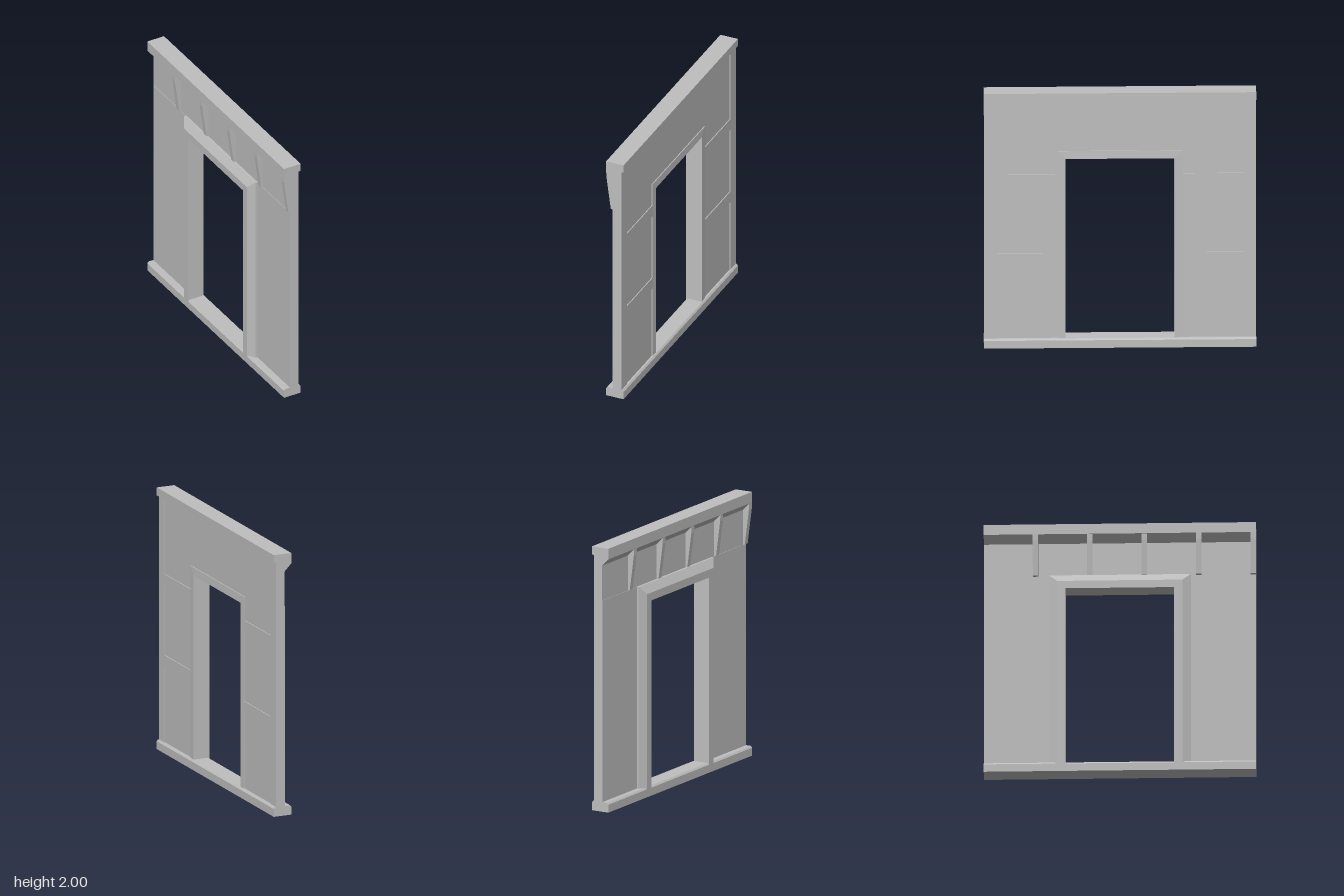
import * as THREE from 'three';

const stone = new THREE.MeshStandardMaterial({ color: 0xbfbfbf });
stone.name = 'grey stone';

function add(group, name, geometry) {
  const mesh = new THREE.Mesh(geometry, stone);
  mesh.name = name;
  group.add(mesh);
  return mesh;
}

// Box given by its limits on each axis
function block(x0, x1, y0, y1, z0, z1) {
  return new THREE.BoxGeometry(x1 - x0, y1 - y0, z1 - z0)
    .translate((x0 + x1) / 2, (y0 + y1) / 2, (z0 + z1) / 2);
}

// Profile in x, y run along z
function run(points, z0, z1) {
  const shape = new THREE.Shape(points.map(([x, y]) => new THREE.Vector2(x, y)));
  return new THREE.ExtrudeGeometry(shape, { depth: z1 - z0, bevelEnabled: false }).translate(0, 0, z0);
}

// Door surround: a closed profile of [outward offset, x], mitred around the opening
function surround(profile, halfWidth, bottom, top) {
  const stations = [
    [-halfWidth, bottom, -1, 0], [-halfWidth, top, -1, 1],
    [halfWidth, top, 1, 1], [halfWidth, bottom, 1, 0],
  ];
  const at = (s, p) => {
    const [z, y, dz, dy] = stations[s];
    const [o, x] = profile[p % profile.length];
    return [x, y + dy * o, z + dz * o];
  };
  const pos = [];
  for (let s = 0; s < 3; s++) {
    for (let p = 0; p < profile.length; p++) {
      const a = at(s, p), a2 = at(s, p + 1), b = at(s + 1, p), b2 = at(s + 1, p + 1);
      pos.push(...a, ...a2, ...b, ...b, ...a2, ...b2);
    }
  }
  const g = new THREE.BufferGeometry();
  g.setAttribute('position', new THREE.Float32BufferAttribute(pos, 3));
  g.computeVertexNormals();
  return g;
}

export function createModel() {
  const model = new THREE.Group();
  model.name = 'doorwayWall';

  // Wall slab with the door opening
  const outline = [[-1, 0.05], [-0.43, 0.05], [-0.43, 1.51], [0.43, 1.51], [0.43, 0.05], [1, 0.05], [1, 1.95], [-1, 1.95]];
  const wallShape = new THREE.Shape(outline.map(([z, y]) => new THREE.Vector2(z, y)));
  const wall = new THREE.ExtrudeGeometry(wallShape, { depth: 0.064, bevelEnabled: false });
  wall.rotateY(Math.PI / 2).translate(-0.018, 0, 0);
  add(model, 'wall', wall);

  // Base plinth, which is also the threshold
  add(model, 'plinth', run([
    [-0.072, 0], [0.07, 0], [0.07, 0.06], [0.06, 0.073], [-0.062, 0.073], [-0.072, 0.06],
  ], -1, 1));

  // Top beam with a sloped underside
  add(model, 'cornice', run([
    [-0.072, 2], [-0.072, 1.92], [-0.018, 1.865], [0.046, 1.865], [0.046, 1.935], [0.07, 1.94], [0.07, 2],
  ], -1, 1));

  // Corbels under the beam
  for (let i = 0; i < 5; i++) {
    const z = 0.98 - i * 0.4;
    add(model, 'corbel', run([
      [-0.072, 1.94], [-0.069, 1.87], [-0.034, 1.605], [-0.018, 1.6], [0, 1.6], [0, 1.94],
    ], z - 0.02, z + 0.02));
  }

  // Door surround: shallow on one face, deep and bevelled on the other
  add(model, 'doorSurround', surround([
    [0, 0.056], [0.06, 0.053], [0.06, 0], [0.122, -0.01], [0.122, -0.036], [0.06, -0.073], [0, -0.073],
  ], 0.4, 0.05, 1.48));

  // Raised stiles, rails and plain facings on both sides of the door
  for (const side of [-1, 1]) {
    const strip = (name, x0, x1, y0, y1, a, b) =>
      add(model, name, block(x0, x1, y0, y1, Math.min(side * a, side * b), Math.max(side * a, side * b)));
    strip('endStile', 0.04, 0.053, 0.06, 1.95, 0.905, 1);
    for (const y of [0.65, 1.27]) strip('rail', 0.04, 0.053, y, y + 0.09, 0.45, 0.91);
    strip('lowerFacing', -0.021, -0.01, 0.06, 1.6, 0.5, 1);
  }
  return model;
}
